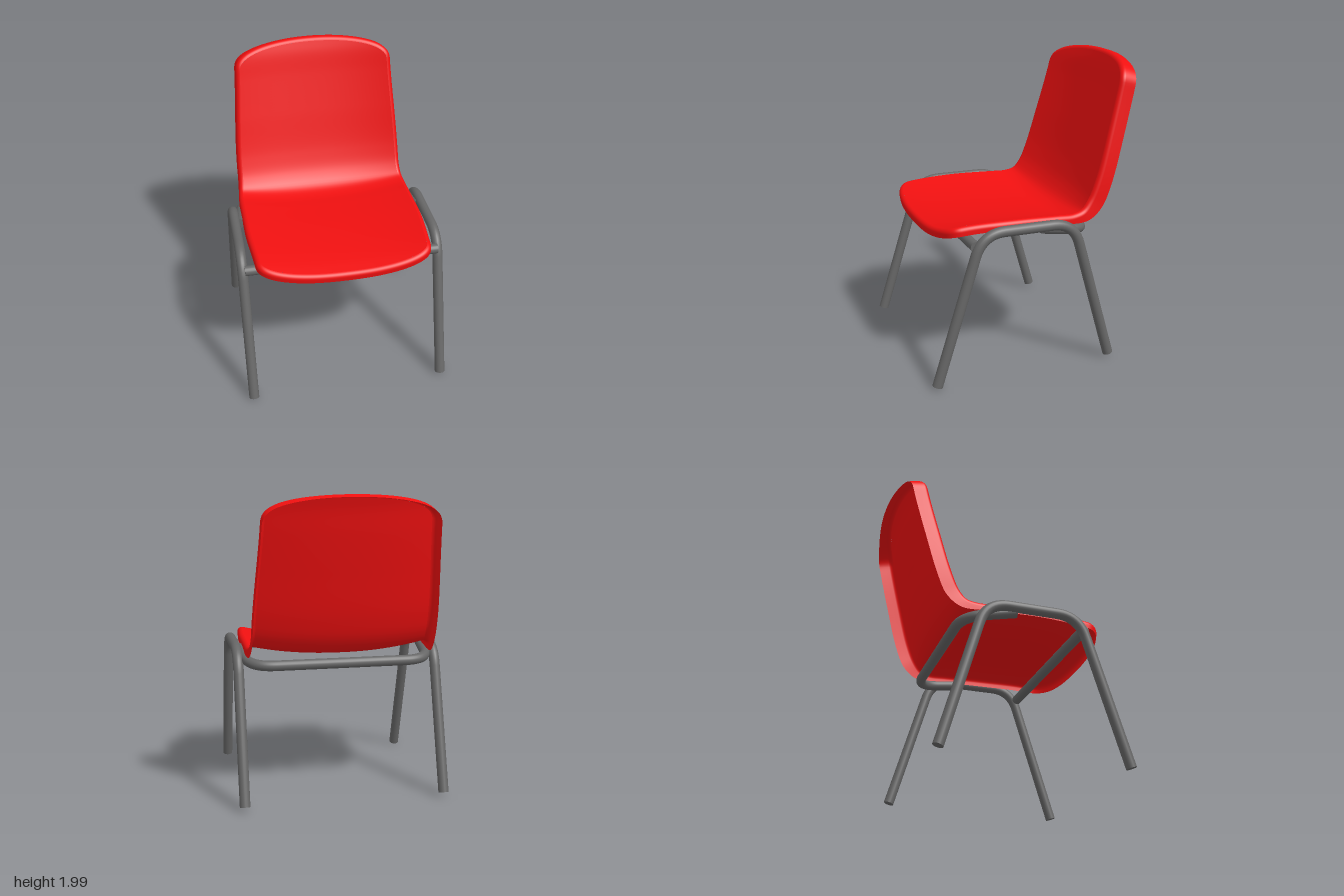
import * as THREE from 'three';

const { smoothstep } = THREE.MathUtils;
const V = (x, y, z) => new THREE.Vector3(x, y, z);
const red = new THREE.MeshStandardMaterial({ color: 0xf01010, side: THREE.DoubleSide });
const grey = new THREE.MeshStandardMaterial({ color: 0x666666 });
const MID = 0.026; // sideways offset of the chair's middle
const R = 0.034; // tube radius
const ROUND = 0.03; // rounding of the shell's rim

// Smooth surface over a unit square
function grid(nu, nv, fn) {
  const pos = [], idx = [];
  for (let i = 0; i <= nu; i++)
    for (let j = 0; j <= nv; j++) pos.push(...fn(i / nu, j / nv).toArray());
  for (let i = 0; i < nu; i++)
    for (let j = 0; j < nv; j++) {
      const a = i * (nv + 1) + j, b = a + nv + 1;
      idx.push(a, a + 1, b, b, a + 1, b + 1);
    }
  const g = new THREE.BufferGeometry();
  g.setAttribute('position', new THREE.Float32BufferAttribute(pos, 3));
  g.setIndex(idx);
  g.computeVertexNormals();
  return g;
}

// Round tube along straight runs with rounded corners, capped at both ends
function bentTube(name, pts, trim) {
  const path = new THREE.CurvePath();
  let from = pts[0];
  for (let i = 1; i < pts.length - 1; i++) {
    const p = pts[i];
    const a = p.clone().add(pts[i - 1].clone().sub(p).setLength(trim));
    const b = p.clone().add(pts[i + 1].clone().sub(p).setLength(trim));
    path.add(new THREE.LineCurve3(from, a));
    path.add(new THREE.QuadraticBezierCurve3(a, p, b));
    from = b;
  }
  path.add(new THREE.LineCurve3(from, pts[pts.length - 1]));
  const group = new THREE.Group();
  group.name = name;
  group.add(new THREE.Mesh(new THREE.TubeGeometry(path, 100, R, 20), grey));
  for (const [end, next] of [[pts[0], pts[1]], [pts.at(-1), pts.at(-2)]]) {
    const cap = new THREE.Mesh(new THREE.CircleGeometry(R, 20), grey);
    cap.position.copy(end);
    cap.lookAt(end.clone().multiplyScalar(2).sub(next));
    group.add(cap);
  }
  group.children.forEach((m) => (m.name = name));
  return group;
}

// Centre line of the shell, from the front edge to the top of the back
const profile = new THREE.CatmullRomCurve3([
  [0.54, 0.94], [0.45, 0.953], [0.3, 0.964], [0.05, 0.967], [-0.2, 0.96], [-0.33, 0.958],
  [-0.42, 0.985], [-0.485, 1.06], [-0.545, 1.2], [-0.63, 1.5], [-0.695, 1.75], [-0.73, 1.9], [-0.752, 1.97],
].map(([z, y]) => V(0, y, z)));
const LEN = profile.getLength();
const corner = (k, p) => 1 - Math.pow(Math.max(0, 1 - k ** p), 1 / p);

// Point and normal of the dished sheet: i runs front to top, j side to side
function sheet(i, j) {
  const s = Math.sin((j - 0.5) * Math.PI), k = Math.abs(s);
  const start = 0.13 * corner(k, 3);
  const end = LEN - 0.06 * k * k - 0.11 * corner(k, 3.5);
  const t = (start + i * (end - start)) / LEN;
  const d = profile.getTangentAt(t), n = V(0, -d.z, d.y);
  const back = smoothstep(t, 0.4, 0.55);
  const width = 0.55 + 0.03 * smoothstep(t, 0, 0.25) - 0.02 * back - 0.045 * smoothstep(t, 0.55, 1);
  const p = profile.getPointAt(t).addScaledVector(n, 0.06 * k ** 2.2);
  p.x = MID + s * width;
  return { p, n, depth: 0.055 + back * (0.02 + 0.03 * k ** 4) };
}

// Walk once round the edge of the sheet, c from 0 to 4
function edge(c) {
  c = (c + 4) % 4;
  const f = c % 1;
  return [() => sheet(0, f), () => sheet(f, 1), () => sheet(1, 1 - f), () => sheet(1 - f, 0)][Math.floor(c)]();
}

// Rim: rounds over the edge, then drops away from the sitting side
function rimPoint(u, q) {
  const c = u * 4, { p, n, depth } = edge(c);
  const out = edge(c + 0.02).p.sub(edge(c - 0.02).p).cross(n).normalize();
  const phi = Math.min(1, q * 1.25) * Math.PI / 2;
  const drop = ROUND * (1 - Math.cos(phi)) + Math.max(0, q - 0.8) * 5 * (depth - ROUND);
  return p.addScaledVector(out, ROUND * Math.sin(phi)).addScaledVector(n, -drop);
}

function makeShell() {
  const shell = new THREE.Group();
  const surface = new THREE.Mesh(grid(100, 60, (i, j) => sheet(i, j).p), red);
  const rim = new THREE.Mesh(grid(320, 10, rimPoint), red);
  shell.name = 'seatShell';
  surface.name = 'seatAndBack';
  rim.name = 'shellRim';
  shell.add(surface, rim);
  return shell;
}

export function createModel() {
  const model = new THREE.Group();
  model.name = 'chair';
  const chair = new THREE.Group();
  chair.name = 'turnedChair';
  chair.rotation.y = 1.133;
  model.add(chair);
  chair.add(makeShell());

  // Side frames: front leg, top run and back leg in one bent tube
  for (const side of [-1, 1]) {
    const x = MID - 0.004 + side * 0.66;
    chair.add(bentTube('sideFrame', [
      V(x, 0.012, 0.635), V(x, 0.985, 0.33), V(x, 0.985, -0.29), V(x, 0.03, -0.57),
    ], 0.15));
  }

  // Straight bar between the front legs
  chair.add(bentTube('frontBar', [V(MID - 0.65, 0.905, 0.37), V(MID + 0.65, 0.905, 0.37)], 0));

  // U-shaped bar behind the seat, its arms joining the side frames
  chair.add(bentTube('backBar', [
    V(MID - 0.63, 0.965, -0.08), V(MID - 0.59, 0.905, -0.42),
    V(MID + 0.59, 0.905, -0.42), V(MID + 0.63, 0.965, -0.08),
  ], 0.16));
  return model;
}
